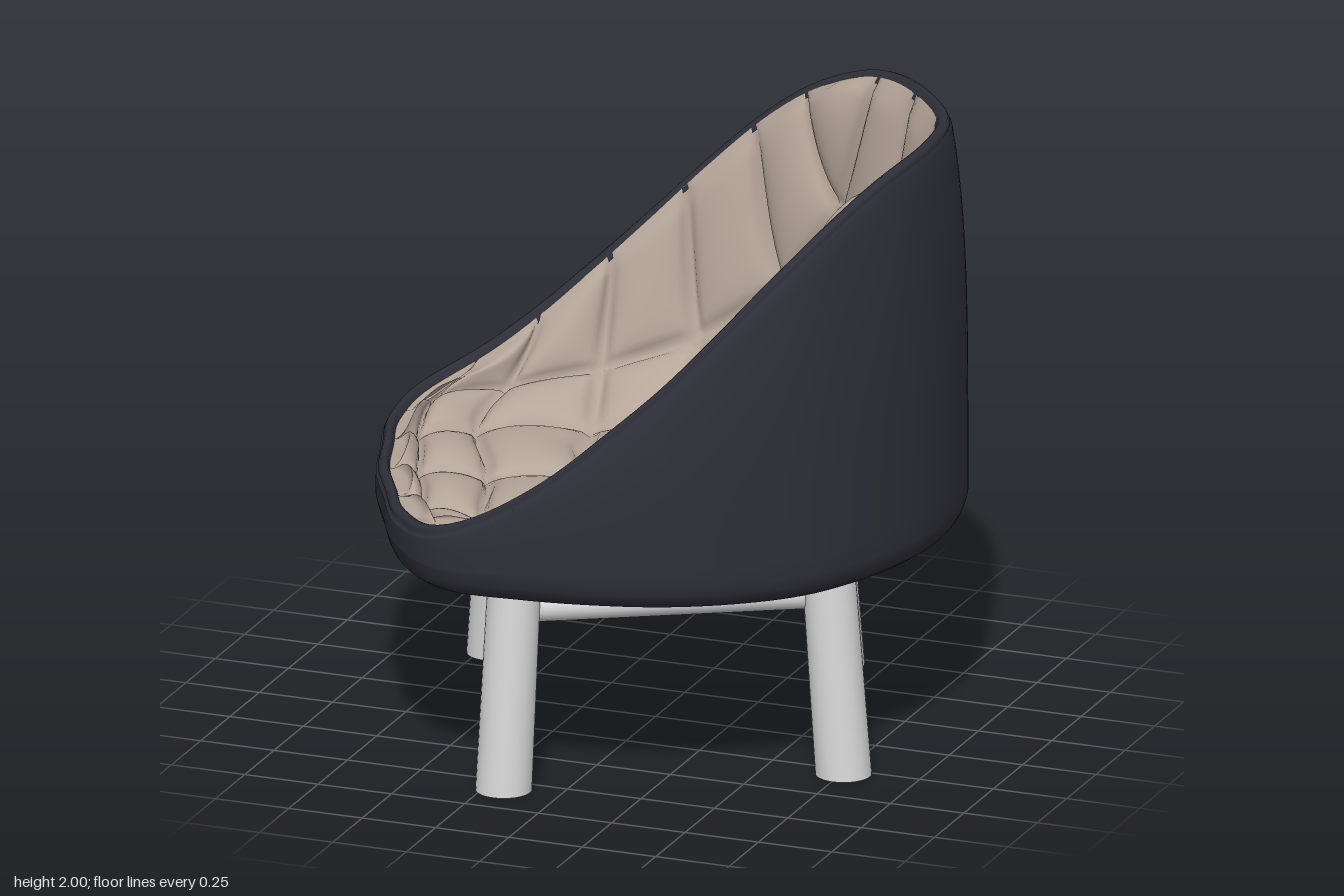
import * as THREE from 'three';

const dark = new THREE.MeshStandardMaterial({ color: 0x2f2f39 });
dark.name = 'charcoal fabric';
const beige = new THREE.MeshStandardMaterial({ color: 0xb5a599 });
beige.name = 'beige upholstery';
const pale = new THREE.MeshStandardMaterial({ color: 0xd6d6d6 });
pale.name = 'pale legs';

// Smooth interpolation through evenly spaced values, t in steps
function smooth(values, t) {
  const n = values.length - 1;
  const i = Math.min(Math.max(Math.floor(t), 0), n - 1), f = t - i;
  const at = (k) => values[k < 0 ? -k : k > n ? 2 * n - k : k];
  const [a, b, c, d] = [at(i - 1), at(i), at(i + 1), at(i + 2)];
  return b + 0.5 * f * (c - a + f * (2 * a - 5 * b + 4 * c - d + f * (3 * (b - c) + d - a)));
}

// Plan outline: radius every 15 degrees from the front (+z) to the back
const RADII = [0.885, 0.897, 0.969, 1.03, 0.97, 0.935, 0.93, 0.936, 0.95, 0.947, 0.957, 0.97, 0.99];
const radius = (ang) => smooth(RADII, Math.abs(Math.atan2(Math.sin(ang), Math.cos(ang))) / (Math.PI / 12));

// Rim height from back to front, every 0.2
const RIM = [2.0, 1.985, 1.89, 1.745, 1.57, 1.39, 1.225, 1.065, 0.94, 0.865, 0.85];
const rim = (ang) => smooth(RIM, (radius(ang) * Math.cos(ang) + 1) / 0.2);
const taper = (ang) => 0.05 * Math.min(1, Math.max(0, (rim(ang) - 0.85) / 0.4));

// Outer shell lofted through rings, from the underside to the inner edge of the rim
function shellGeometry() {
  const rings = [];
  const base = [[0, 0.655], [0.8, 0.655], [0.9, 0.655], [0.945, 0.665], [0.975, 0.685], [0.99, 0.715]];
  for (const [s, y] of base) rings.push(() => [s, y]);
  for (let i = 0; i <= 16; i++) {
    const f = i / 16;
    rings.push((a) => [1 - taper(a) * f ** 4, 0.75 + (rim(a) - 0.035 - 0.75) * f]);
  }
  const lip = [[0.988, -0.032], [0.992, -0.018], [0.985, -0.005], [0.97, 0], [0.955, -0.006], [0.943, -0.04]];
  for (const [s, dy] of lip) rings.push((a) => [s - taper(a), rim(a) + dy]);

  const seg = 144, pos = [], index = [];
  rings.forEach((ring, r) => {
    for (let j = 0; j < seg; j++) {
      const a = (j / seg) * Math.PI * 2;
      const [s, y] = ring(a);
      pos.push(Math.sin(a) * radius(a) * s, y, Math.cos(a) * radius(a) * s);
      if (r === 0) continue;
      const k = (j + 1) % seg, lo = (r - 1) * seg, hi = r * seg;
      index.push(lo + j, lo + k, hi + k, lo + j, hi + k, hi + j);
    }
  });
  const geo = new THREE.BufferGeometry();
  geo.setAttribute('position', new THREE.Float32BufferAttribute(pos, 3));
  geo.setIndex(index);
  geo.computeVertexNormals();
  return geo;
}

// Tufted lining: a square grid wrapped into the bowl, each cell puffed out
function liningGeometry() {
  const nx = 6, nz = 7, sub = 14, seat = 0.77;
  const geo = new THREE.PlaneGeometry(2, 2, nx * sub, nz * sub);
  const p = geo.attributes.position, puff = [];
  const cell = (v, n) => {
    const t = ((v + 1) / 2) * n;
    const c = 2 * (t - Math.floor(t + 1e-4)) - 1;
    return Math.max(0, 1 - c * c);
  };
  for (let i = 0; i < p.count; i++) {
    const a = p.getX(i), b = -p.getY(i);
    puff.push(0.075 * Math.pow(cell(a, nx) * cell(b, nz), 0.45));
    const r = Math.sqrt(Math.max(0, a * a + b * b - a * a * b * b));
    const ang = Math.atan2(a, b);
    const plan = radius(ang) * (0.95 - taper(ang)) * (1 - Math.pow(Math.max(0, 1 - r), 1.8));
    const y = seat + (rim(ang) - 0.02 - seat) * r ** 3;
    p.setXYZ(i, Math.sin(ang) * plan, y, Math.cos(ang) * plan);
  }
  geo.computeVertexNormals();
  const n = geo.attributes.normal;
  for (let i = 0; i < p.count; i++) {
    const d = puff[i];
    p.setXYZ(i, p.getX(i) + n.getX(i) * d, p.getY(i) + n.getY(i) * d, p.getZ(i) + n.getZ(i) * d);
  }
  geo.computeVertexNormals();
  return geo;
}

export function createModel() {
  const model = new THREE.Group();
  model.name = 'tubChair';
  const chair = new THREE.Group();
  chair.name = 'chair';
  chair.rotation.y = THREE.MathUtils.degToRad(-67);
  model.add(chair);
  const add = (name, geo, mat, parent) => {
    const mesh = new THREE.Mesh(geo, mat);
    mesh.name = name;
    parent.add(mesh);
    return mesh;
  };

  // Upholstered tub
  const tub = new THREE.Group();
  tub.name = 'tub';
  tub.position.x = -0.02;
  chair.add(tub);
  add('shell', shellGeometry(), dark, tub);
  add('tuftedLining', liningGeometry(), beige, tub);

  // Splayed legs, listed around the base: foot and top as [x, z]
  const base = new THREE.Group();
  base.name = 'base';
  base.position.x = 0.028;
  chair.add(base);
  const H = 0.68;
  const legs = [
    ['frontLeftLeg', 1, [0.66, 0.495], [0.6, 0.46]],
    ['backLeftLeg', 1, [0.53, -0.583], [0.475, -0.535]],
    ['backRightLeg', -1, [0.53, -0.583], [0.475, -0.535]],
    ['frontRightLeg', -1, [0.66, 0.495], [0.6, 0.46]],
  ];
  const joints = legs.map(([name, side, foot, top]) => {
    const geo = new THREE.CylinderGeometry(0.085, 0.09, H, 32);
    geo.translate(0, H / 2, 0);
    const shear = new THREE.Matrix4().set(
      1, (side * (top[0] - foot[0])) / H, 0, side * foot[0],
      0, 1, 0, 0,
      0, (top[1] - foot[1]) / H, 1, foot[1],
      0, 0, 0, 1);
    add(name, geo.applyMatrix4(shear), pale, base);
    const f = 0.58 / H;
    return new THREE.Vector3(
      side * (foot[0] + (top[0] - foot[0]) * f) * 0.96, 0.58,
      (foot[1] + (top[1] - foot[1]) * f) * 0.96);
  });

  // Stretchers with rounded ends between neighbouring legs
  joints.forEach((from, i) => {
    const to = joints[(i + 1) % 4];
    const dir = to.clone().sub(from);
    const bar = add('stretcher' + (i + 1), new THREE.CapsuleGeometry(0.046, dir.length(), 8, 20), pale, base);
    bar.position.copy(from).add(to).multiplyScalar(0.5);
    bar.quaternion.setFromUnitVectors(new THREE.Vector3(0, 1, 0), dir.normalize());
  });
  return model;
}
